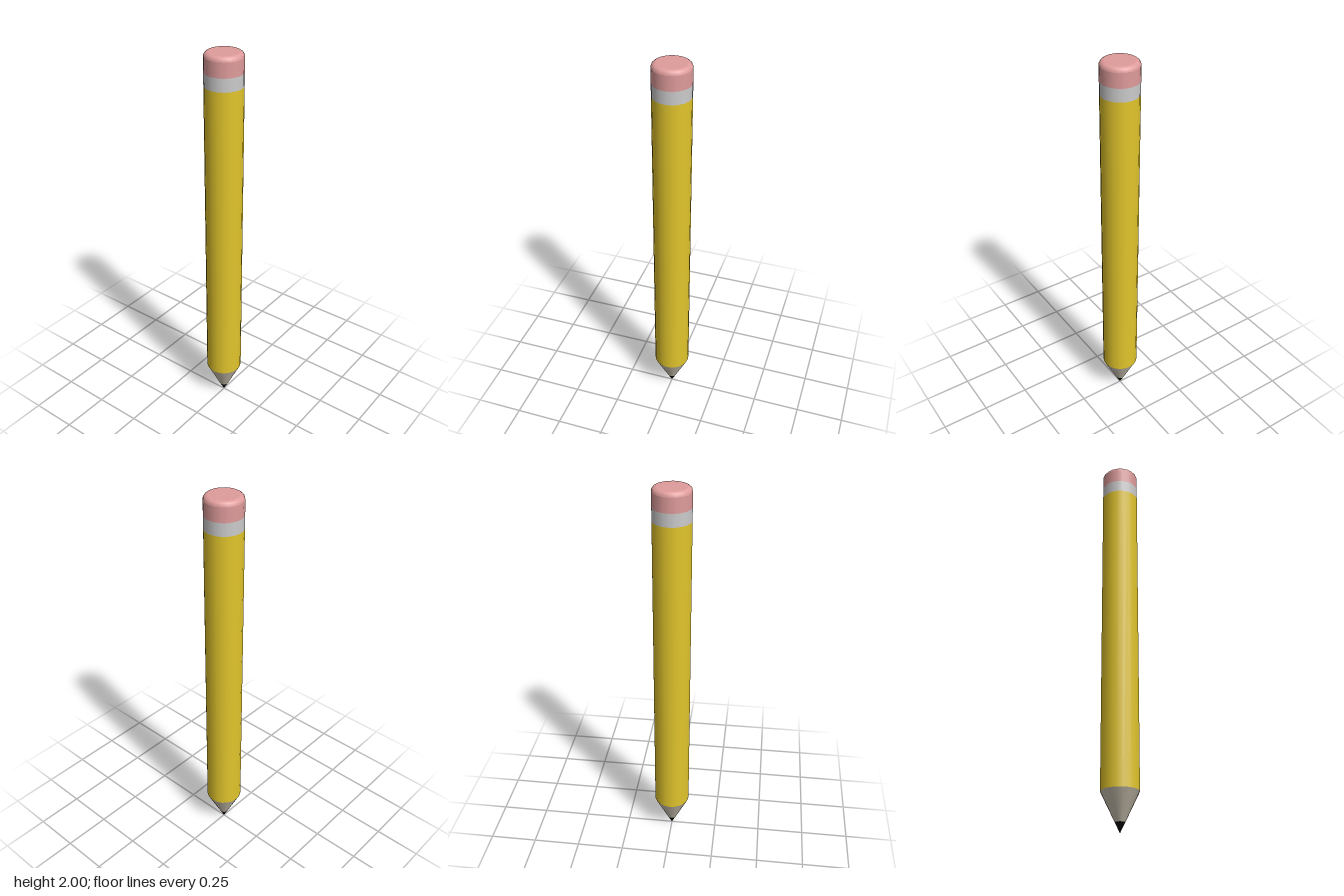
import * as THREE from 'three';

const SIDES = 20;
const R = 0.095;

export function createModel() {
  const pencil = new THREE.Group();
  pencil.name = 'pencil';

  function add(name, geometry, color) {
    const mesh = new THREE.Mesh(geometry, new THREE.MeshStandardMaterial({ color }));
    mesh.name = name;
    pencil.add(mesh);
  }

  // Open round section between two heights
  function section(name, y0, y1, r0, r1, color) {
    const geometry = new THREE.CylinderGeometry(r1, r0, y1 - y0, SIDES, 1, true);
    geometry.translate(0, (y0 + y1) / 2, 0);
    add(name, geometry, color);
  }

  // Sharpened end
  section('graphiteTip', 0, 0.05, 0, 0.025, 0x080808);
  section('sharpenedWood', 0.05, 0.195, 0.025, R, 0xcfc6b4);

  // Painted shaft and metal band
  section('shaft', 0.195, 1.84, R, R, 0xe2c52c);
  section('ferrule', 1.84, 1.905, R, R, 0xc8c8c8);

  // Eraser: straight wall, rounded rim, flat top
  const bevel = 0.022;
  section('eraserWall', 1.905, 2 - bevel, R, R, 0xe09c9c);
  const rim = [];
  for (let i = 0; i <= 4; i++) {
    const a = (i / 4) * Math.PI / 2;
    rim.push(new THREE.Vector2(R - bevel + bevel * Math.cos(a), 2 - bevel + bevel * Math.sin(a)));
  }
  add('eraserRim', new THREE.LatheGeometry(rim, SIDES), 0xe09c9c);
  const top = new THREE.CircleGeometry(R - bevel, SIDES, Math.PI / 2);
  top.rotateX(-Math.PI / 2).translate(0, 2, 0);
  add('eraserTop', top, 0xe09c9c);

  return pencil;
}
